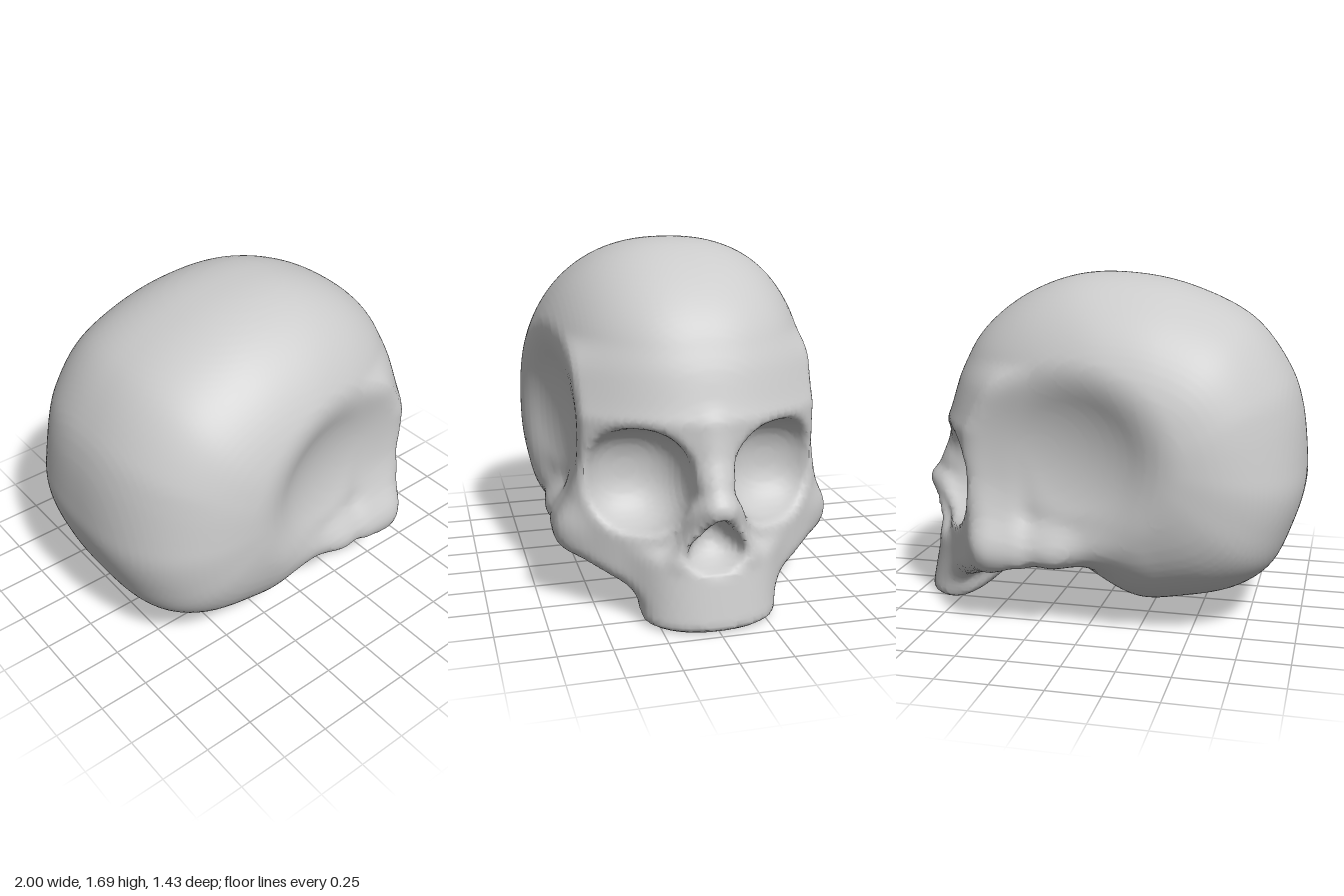
import * as THREE from 'three';

const { clamp, smoothstep } = THREE.MathUtils;

// Smooth blending of distances: union, overlap and cut
const join = (a, b, k) => {
  const h = Math.max(k - Math.abs(a - b), 0) / k;
  return Math.min(a, b) - h * h * k * 0.25;
};
const overlap = (a, b, k) => -join(-a, -b, k);
const carve = (a, b, k) => -join(-a, b, k);

// Approximate distance to a rounded block: n = 2 is an ellipsoid, larger is boxier
function blob(x, y, z, c, r, n) {
  const q = Math.abs((x - c[0]) / r[0]) ** n + Math.abs((y - c[1]) / r[1]) ** n + Math.abs((z - c[2]) / r[2]) ** n;
  return (q ** (1 / n) - 1) * Math.min(...r);
}

// Distance to a tapered bar from a to b, each [x, y, z, radius]
function bar(x, y, z, a, b) {
  const bx = b[0] - a[0], by = b[1] - a[1], bz = b[2] - a[2];
  const px = x - a[0], py = y - a[1], pz = z - a[2];
  const t = clamp((px * bx + py * by + pz * bz) / (bx * bx + by * by + bz * bz), 0, 1);
  return Math.hypot(px - t * bx, py - t * by, pz - t * bz) - (a[3] + (b[3] - a[3]) * t);
}

// Side outline of the braincase, turned into a radius per angle
const CX = -0.3, CY = 0.85, BINS = 720;
const outline = new THREE.CatmullRomCurve3([
  [-1, 0.8], [-0.97, 1.05], [-0.91, 1.22], [-0.72, 1.47], [-0.4, 1.63], [-0.1, 1.69], [0.17, 1.68],
  [0.43, 1.58], [0.63, 1.42], [0.73, 1.26], [0.77, 1.08], [0.74, 0.92], [0.62, 0.73], [0.5, 0.5],
  [0.36, 0.38], [0.22, 0.35], [0.03, 0.21], [-0.22, 0.09], [-0.45, 0.11], [-0.71, 0.18],
  [-0.86, 0.29], [-0.95, 0.48], [-1, 0.66],
].map(([x, y]) => new THREE.Vector3(x, y, 0)), true).getPoints(500)
  .map((p) => ({ a: Math.atan2(p.y - CY, p.x - CX), r: Math.hypot(p.x - CX, p.y - CY) }))
  .sort((p, q) => p.a - q.a);
const radii = [];
for (let i = 0, j = 0; i <= BINS; i++) {
  const a = (i / BINS) * Math.PI * 2 - Math.PI;
  while (j < outline.length - 1 && outline[j].a < a) j++;
  const q = outline[j], p = outline[Math.max(j - 1, 0)];
  const t = q.a > p.a ? clamp((a - p.a) / (q.a - p.a), 0, 1) : 0;
  radii.push(p.r + (q.r - p.r) * t);
}
function outlineRadius(angle) {
  const f = ((angle + Math.PI) / (Math.PI * 2)) * BINS;
  const i = Math.min(Math.floor(f), BINS - 1);
  return radii[i] + (radii[i + 1] - radii[i]) * (f - i);
}

function braincase(x, y, z) {
  const dx = x - CX, dy = y - CY;
  const rho = Math.hypot(dx, dy) / outlineRadius(Math.atan2(dy, dx));
  const n = 2.3 + 0.6 * smoothstep(-dy, -0.2, 0.5);
  return ((rho ** n + (z / 0.722) ** n) ** (1 / n) - 1) * 0.75;
}

// Solid mass of the face, from cheekbones to forehead, curving back to the sides
function faceMass(x, y, z) {
  const front = 0.85 - 0.55 * Math.max(0, y - 0.96) - 0.8 * z * z;
  const width = 0.655 - 0.065 * smoothstep(y, 0.42, 0.75);
  const bottom = Math.max(0.13 + 0.5 * (z - 0.3), 0.33 - 0.5 * Math.max(0, x - 0.35));
  let d = overlap((x - front) * 0.85, z - width, 0.05);
  d = overlap(d, (bottom - y) * 0.9, 0.06);
  d = overlap(d, y - 1.22, 0.1);
  return overlap(d, 0.3 - x, 0.05);
}

// Upper jaw: a rounded column leaning forward at the bottom
function upperJaw(x, y, z) {
  const dx = x - (0.74 - 0.2 * y);
  const q = Math.abs(dx / (dx > 0 ? 0.24 : 0.22)) ** 2.2 + (z / 0.325) ** 2.2;
  const side = (q ** (1 / 2.2) - 1) * 0.26;
  const bottom = 0.005 + 1.7 * Math.max(0, 0.82 - x) ** 2 - y;
  return overlap(side, Math.max(bottom, y - 0.34), 0.05);
}

// Bars of bone, each with its blend width
const BARS = [
  [[0.46, 0.41, 0.57, 0.095], [0.15, 0.425, 0.575, 0.09], 0.1],      // cheek arch
  [[0.15, 0.425, 0.575, 0.09], [-0.25, 0.46, 0.52, 0.09], 0.1],      // end of the arch
  [[0.77, 0.92, 0, 0.075], [0.835, 0.69, 0, 0.085], 0.06],           // nose bridge
  [[0.835, 0.69, 0, 0.085], [0.95, 0.59, 0, 0.045], 0.05],           // nose tip
  [[0.92, 0.585, 0.02, 0.05], [0.8, 0.53, 0.15, 0.06], 0.06],        // flank of the nose
  [[0.93, 0.575, 0.03, 0.04], [0.835, 0.33, 0.15, 0.05], 0.05],      // edge of the nose opening
];

function skullField(x, y, zSigned) {
  const z = Math.abs(zSigned);
  let d = join(braincase(x, y, z), faceMass(x, y, z), 0.08);
  d = join(d, upperJaw(x, y, z), 0.07);
  for (const [a, b, k] of BARS) d = join(d, bar(x, y, z, a, b), k);
  // Hollow temple
  d = carve(d, blob(x, y, z, [0.23, 0.87, 1.0], [0.75, 0.62, 0.455], 2), 0.07);
  // Eye socket
  d = carve(d, blob(x, y, z, [0.77, 0.68, 0.345], [0.25, 0.245, 0.255], 2.25), 0.04);
  // Nose opening, narrowing to the top
  const narrow = clamp(1 - (y - 0.38) * 4.2, 0.2, 1.2);
  return carve(d, blob(x, y, z / narrow, [0.97, 0.41, 0], [0.21, 0.14, 0.15], 2), 0.025);
}

// Wraps a smooth skin of quads around the region where field < 0
function skin(field, min, max, step) {
  const size = min.map((m, a) => Math.ceil((max[a] - m) / step) + 1);
  const stride = [1, size[0], size[0] * size[1]];
  const values = new Float32Array(size[0] * size[1] * size[2]);
  const each = (visit) => {
    for (let k = 0, id = 0; k < size[2]; k++)
      for (let j = 0; j < size[1]; j++)
        for (let i = 0; i < size[0]; i++, id++) visit([i, j, k], id);
  };
  each((g, id) => { values[id] = field(...g.map((n, a) => min[a] + n * step)); });

  // One vertex in each cell the surface passes through
  const positions = [], cell = new Map();
  each((g, id) => {
    if (g.some((n, a) => n === size[a] - 1)) return;
    const sum = [0, 0, 0];
    let count = 0;
    for (let c = 0; c < 8; c++) {
      const bits = [c & 1, (c >> 1) & 1, c >> 2];
      const from = id + bits[0] * stride[0] + bits[1] * stride[1] + bits[2] * stride[2];
      for (let a = 0; a < 3; a++) {
        const v0 = values[from], v1 = values[from + stride[a]];
        if (bits[a] || v0 < 0 === v1 < 0) continue;
        for (let b = 0; b < 3; b++) sum[b] += bits[b] + (a === b ? v0 / (v0 - v1) : 0);
        count++;
      }
    }
    if (!count) return;
    cell.set(id, positions.length / 3);
    positions.push(...g.map((n, a) => min[a] + (n + sum[a] / count) * step));
  });

  // One quad around each grid edge that crosses the surface
  const index = [];
  each((g, id) => {
    for (let a = 0; a < 3; a++) {
      if (g[a] === size[a] - 1) continue;
      const inside = values[id] < 0;
      if (inside === values[id + stride[a]] < 0) continue;
      const u = stride[(a + 1) % 3], v = stride[(a + 2) % 3];
      const [p, q, r, s] = [id - u - v, id - v, id, id - u].map((n) => cell.get(n));
      index.push(...(inside ? [p, q, r, p, r, s] : [p, r, q, p, s, r]));
    }
  });
  const geometry = new THREE.BufferGeometry();
  geometry.setAttribute('position', new THREE.Float32BufferAttribute(positions, 3));
  geometry.setIndex(index);
  geometry.computeVertexNormals();
  return geometry;
}

export function createModel() {
  const group = new THREE.Group();
  group.name = 'skullModel';
  const geometry = skin(skullField, [-1.06, -0.06, -0.792], [1.06, 1.76, 0.792], 0.022);
  const skull = new THREE.Mesh(geometry, new THREE.MeshStandardMaterial({ color: 0xcccccc }));
  skull.name = 'skull';
  group.add(skull);
  return group;
}
